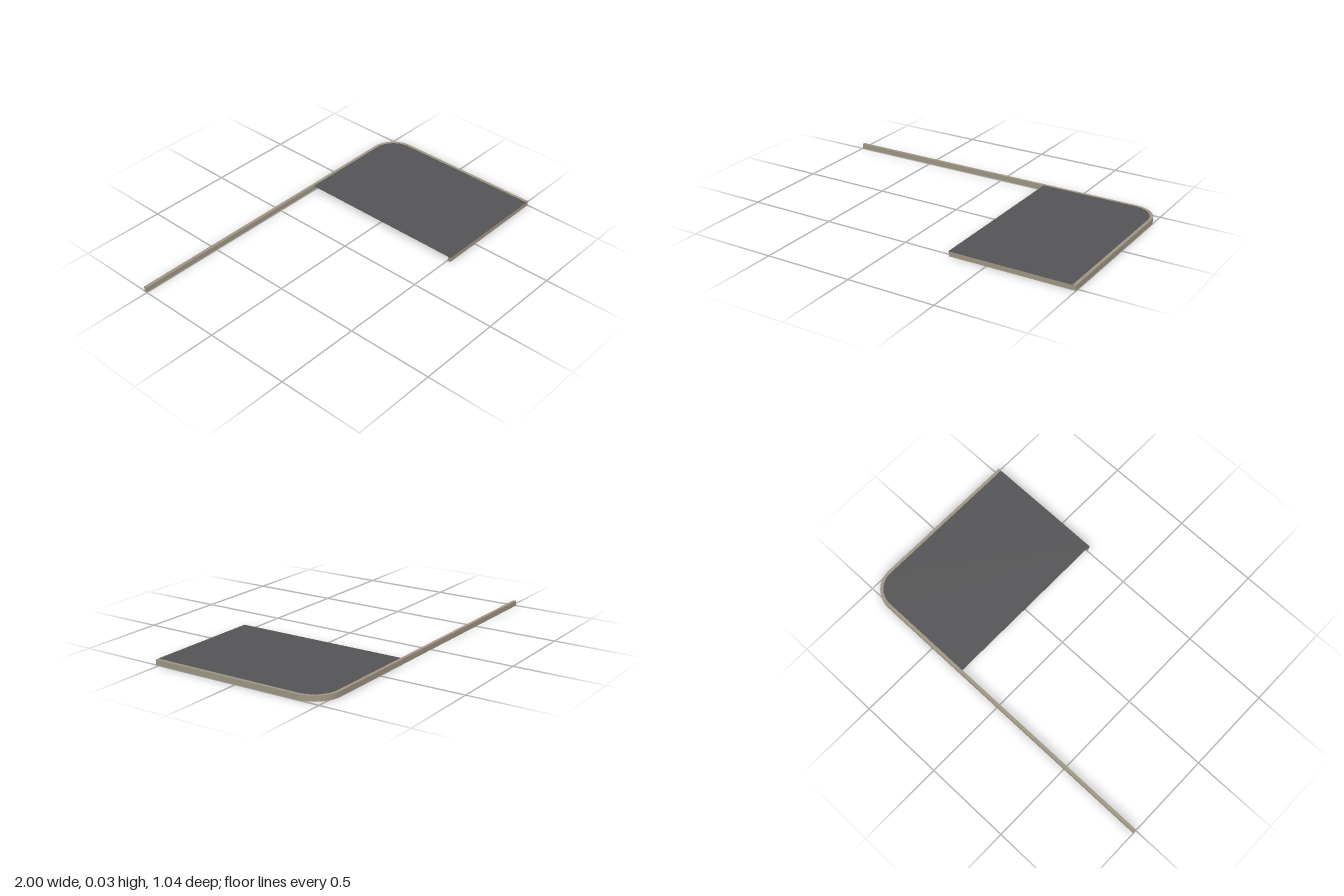
import * as THREE from 'three';

const RIGHT = 1, BACK = 0.52, FRONT = -0.52; // plan coordinates, y of the plan points to the back
const HEIGHT = 0.03, RAIL = 0.018, RADIUS = 0.15, SKIN = 0.002, PANEL_LEFT = 0.28;

// Points of the rounded back corner, inset from the outer outline
function corner(inset, steps = 8) {
  const points = [];
  for (let i = 0; i <= steps; i++) {
    const a = (i / steps) * Math.PI / 2;
    points.push(new THREE.Vector2(
      RIGHT - RADIUS + Math.cos(a) * (RADIUS - inset),
      BACK - RADIUS + Math.sin(a) * (RADIUS - inset)));
  }
  return points;
}

// Plan outline raised from y = base to y = top
function slab(name, points, base, top, material) {
  const geometry = new THREE.ExtrudeGeometry(new THREE.Shape(points), { depth: top - base, bevelEnabled: false });
  geometry.rotateX(-Math.PI / 2);
  geometry.translate(0, base, 0);
  const mesh = new THREE.Mesh(geometry, material);
  mesh.name = name;
  return mesh;
}

export function createModel() {
  const trim = new THREE.MeshStandardMaterial({ color: 0xa09684 });
  trim.name = 'warm grey trim';
  const dark = new THREE.MeshStandardMaterial({ color: 0x555557 });
  dark.name = 'dark grey panel';
  const v = (x, y) => new THREE.Vector2(x, y);
  const group = new THREE.Group();
  group.name = 'corner canopy';

  // Edge rail: right side, rounded corner and long back run
  group.add(slab('edgeRail', [
    v(RIGHT, FRONT), ...corner(0), v(-1, BACK),
    v(-1, BACK - RAIL), ...corner(RAIL).reverse(), v(RIGHT - RAIL, FRONT),
  ], 0, HEIGHT, trim));

  // Lip hanging under the front edge of the panel
  group.add(slab('frontLip', [
    v(PANEL_LEFT, FRONT), v(RIGHT - RAIL, FRONT),
    v(RIGHT - RAIL, FRONT + RAIL), v(PANEL_LEFT, FRONT + RAIL),
  ], 0, HEIGHT - SKIN, trim));

  // Thin top panel fitted inside the rail
  group.add(slab('topPanel', [
    v(PANEL_LEFT, FRONT), v(RIGHT - RAIL, FRONT), ...corner(RAIL), v(PANEL_LEFT, BACK - RAIL),
  ], HEIGHT - SKIN, HEIGHT, dark));

  return group;
}
